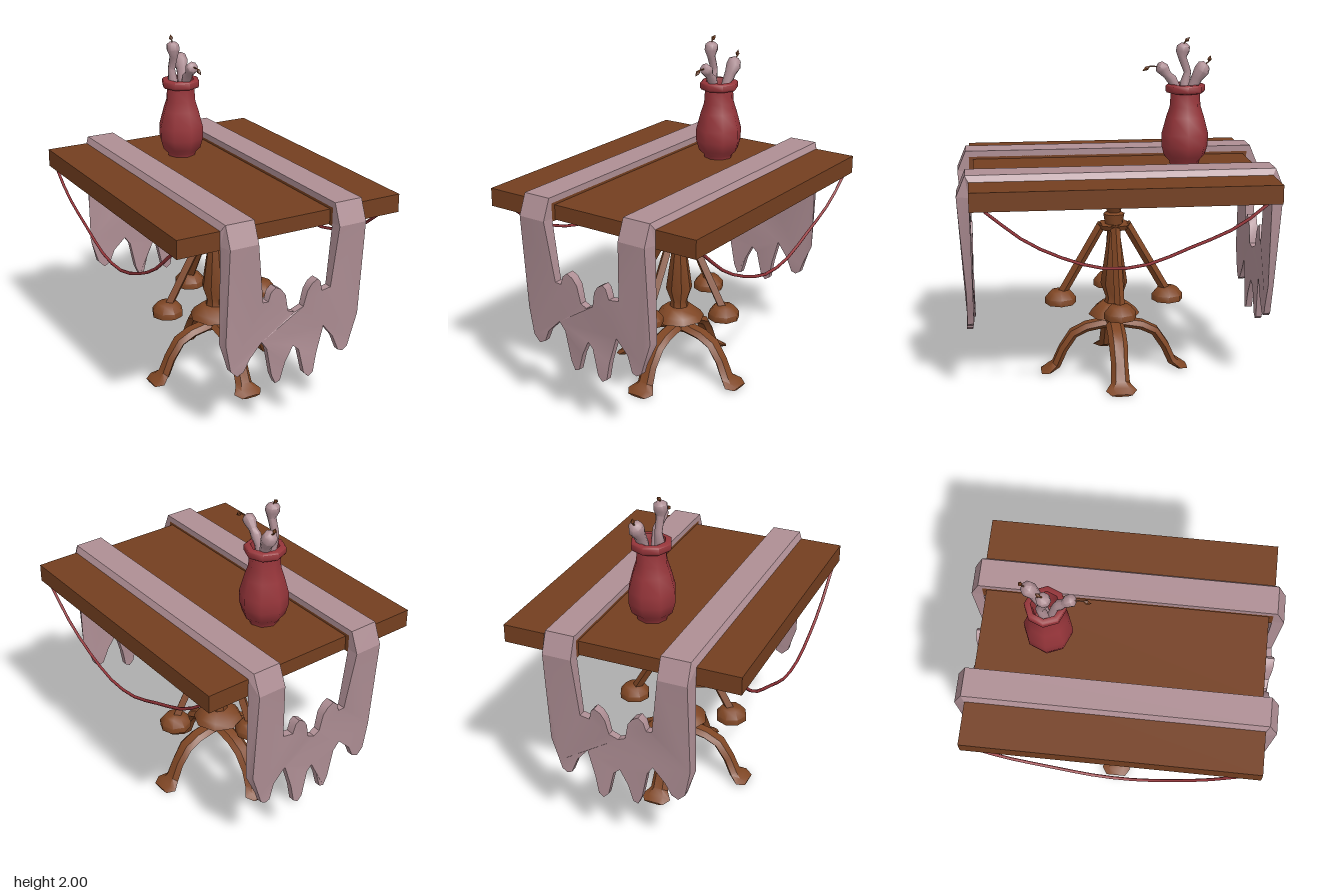
import * as THREE from 'three';
import { toCreasedNormals } from 'three/addons/utils/BufferGeometryUtils.js';

const mat = (name, color) => Object.assign(new THREE.MeshStandardMaterial({ color }), { name });

export function createModel() {
  const wood = mat('turned wood', 0x7f4624);
  const board = mat('table board wood', 0x743f20);
  const cloth = mat('dusty pink', 0xae8e94);
  const red = mat('deep red', 0x96353a);
  const model = new THREE.Group();
  model.name = 'altarTable';

  const add = (name, geo, material, parent = model, crease = 0.6) => {
    const mesh = new THREE.Mesh(toCreasedNormals(geo, crease), material);
    mesh.name = name;
    parent.add(mesh);
    return mesh;
  };
  const lathe = (pts, sides = 8) =>
    new THREE.LatheGeometry(pts.map(([r, y]) => new THREE.Vector2(r, y)), sides);
  const box = (w, h, d, x, y, z) => new THREE.BoxGeometry(w, h, d).translate(x, y, z);

  // Closed loft through stations [x, y, z, halfWidth, halfThickness]; side sets the width direction
  function loft(stations, sides, side) {
    const pos = [], index = [], n = stations.length;
    const at = (i) => new THREE.Vector3(...stations[Math.min(Math.max(i, 0), n - 1)].slice(0, 3));
    for (let i = 0; i < n; i++) {
      const t = at(i + 1).sub(at(i - 1)).normalize();
      const u = side.clone().addScaledVector(t, -side.dot(t)).normalize();
      const v = t.clone().cross(u);
      const [, , , ru, rv = ru] = stations[i];
      for (let j = 0; j < sides; j++) {
        const a = (j / sides) * Math.PI * 2;
        const p = at(i).addScaledVector(u, ru * Math.cos(a)).addScaledVector(v, rv * Math.sin(a));
        pos.push(p.x, p.y, p.z);
        const k = (j + 1) % sides, r = i * sides;
        if (i < n - 1) index.push(r + j, r + k, r + sides + j, r + k, r + sides + k, r + sides + j);
      }
    }
    const end = (n - 1) * sides;
    for (let j = 1; j < sides - 1; j++) index.push(0, j + 1, j, end, end + j, end + j + 1);
    const g = new THREE.BufferGeometry();
    g.setAttribute('position', new THREE.Float32BufferAttribute(pos, 3));
    g.setIndex(index);
    return g;
  }

  // Table top: two thick side boards and a slightly recessed middle board
  for (const s of [-1, 1]) add('sideBoard', box(0.44, 0.105, 1.68, s * 0.47, 1.2325, 0), board);
  add('middleBoard', box(0.5, 0.085, 1.63, 0, 1.2275, 0), board);

  // Pedestal
  add('cup', lathe([[0, 0.97], [0.04, 0.99], [0.045, 1.01], [0.08, 1.05], [0.095, 1.1], [0.1, 1.19], [0, 1.19]]), wood, model, 0.9);
  add('collar', lathe([[0, 0.91], [0.05, 0.91], [0.063, 0.98], [0.04, 0.99], [0, 0.99]]), wood, model, 0.9);
  add('strutPlate', lathe([[0, 0.89], [0.085, 0.89], [0.1, 0.92], [0, 0.92]]), wood, model, 0.9);
  add('shaft', lathe([[0, 0.42], [0.06, 0.42], [0.05, 0.47], [0.08, 0.555], [0.03, 0.9], [0, 0.9]]), wood);
  add('skirt', lathe([[0, 0.35], [0.08, 0.355], [0.153, 0.36], [0.13, 0.395], [0.08, 0.435], [0, 0.44]]), wood, model, 0.9);
  add('hub', lathe([[0, 0.29], [0.06, 0.3], [0.075, 0.36], [0, 0.36]]), wood, model, 0.9);

  // Four struts with hanging weights, and four curved legs
  const zAxis = new THREE.Vector3(0, 0, 1);
  for (let i = 0; i < 4; i++) {
    const arm = new THREE.Group();
    arm.name = 'supportArm';
    arm.rotation.y = (i * Math.PI) / 2;
    model.add(arm);
    add('strut', loft([[0.07, 0.92, 0, 0.028], [0.31, 0.5, 0, 0.028]], 4, zAxis), wood, arm);
    add('weight', lathe([[0, 0.44], [0.093, 0.44], [0.093, 0.475], [0.06, 0.515], [0, 0.52]])
      .translate(0.32, 0, 0), wood, arm, 0.9);
    add('leg', loft([
      [0, 0.3, 0, 0.055, 0.03], [0.06, 0.305, 0, 0.055, 0.03], [0.165, 0.285, 0, 0.055, 0.03],
      [0.245, 0.245, 0, 0.055, 0.03], [0.308, 0.15, 0, 0.05, 0.03], [0.35, 0.055, 0, 0.055, 0.03],
      [0.395, 0.025, 0, 0.09, 0.022], [0.44, 0.012, 0, 0.06, 0.008],
    ], 6, zAxis), wood, arm);
  }

  // Runner straps lying over the table, chamfered along the outer edge
  const strapSide = new THREE.Shape([[-0.86, 1.32], [-0.91, 1.2], [-0.84, 1.2], [-0.84, 1.284], [0.84, 1.284],
    [0.84, 1.2], [0.91, 1.2], [0.86, 1.32]].map((p) => new THREE.Vector2(...p)));
  const chamfer = (p, i, outer) => {
    const x = p.getX(i);
    if (outer && Math.abs(x) > 0.43) p.setX(i, Math.sign(x) * 0.42);
  };
  for (const s of [-1, 1]) {
    const g = new THREE.ExtrudeGeometry(strapSide, { depth: 0.19, bevelEnabled: false });
    g.rotateY(Math.PI / 2).translate(s > 0 ? 0.25 : -0.44, 0, 0);
    const p = g.attributes.position;
    for (let i = 0; i < p.count; i++) chamfer(p, i, p.getY(i) > 1.3 || Math.abs(p.getZ(i)) > 0.9);
    add('runnerStrap', g, cloth, model, 0.3);
  }

  // Ragged cloth hanging at both ends
  const ragged = [
    [-0.44, 1.2], [-0.44, 0.64], [-0.39, 0.48], [-0.35, 0.44], [-0.31, 0.46], [-0.275, 0.535], [-0.2, 0.61],
    [-0.165, 0.56], [-0.13, 0.39], [-0.105, 0.335], [-0.075, 0.345], [-0.045, 0.45], [0, 0.54], [0.035, 0.51],
    [0.07, 0.36], [0.1, 0.33], [0.13, 0.35], [0.15, 0.46], [0.195, 0.615], [0.265, 0.53], [0.3, 0.44], [0.33, 0.43],
    [0.36, 0.45], [0.375, 0.5], [0.44, 0.64], [0.44, 1.2], [0.25, 1.2], [0.225, 0.845], [0.165, 0.84], [0.15, 0.9],
    [0.13, 0.92], [0.095, 0.9], [0.07, 0.86], [0.05, 0.77], [0, 0.745], [-0.04, 0.76], [-0.06, 0.86], [-0.09, 0.9],
    [-0.125, 0.92], [-0.155, 0.895], [-0.17, 0.845], [-0.205, 0.85], [-0.25, 1.2]];
  for (const s of [-1, 1]) {
    const shape = new THREE.Shape(ragged.map(([x, y]) => new THREE.Vector2(x * s, y)));
    const g = new THREE.ExtrudeGeometry(shape, { depth: 1, bevelEnabled: false });
    const p = g.attributes.position;
    for (let i = 0; i < p.count; i++) {
      const x = p.getX(i), k = THREE.MathUtils.clamp((p.getY(i) - 0.65) / 0.55, 0, 1);
      const outer = p.getZ(i) > 0.5;
      const ripple = Math.abs(x) < 0.3 && k < 0.6 ? 0.008 * Math.sin(16 * x * s) : 0;
      p.setZ(i, (outer ? 0.868 + 0.042 * k : 0.832 + 0.008 * k) + ripple);
      chamfer(p, i, outer);
    }
    if (s < 0) g.rotateY(Math.PI);
    add('raggedCloth', g, cloth);
  }

  // Cords sagging along both sides
  const sag = [[0.76, 1.18], [0.53, 1.0], [0.26, 0.88], [0.1, 0.845], [-0.1, 0.86], [-0.33, 0.945], [-0.6, 1.06], [-0.76, 1.18]];
  for (const s of [-1, 1]) {
    const path = new THREE.CatmullRomCurve3(sag.map(([z, y]) => new THREE.Vector3(s * 0.673, y, z)));
    add('cord', new THREE.TubeGeometry(path, 14, 0.009, 6), red, model, 1.2);
  }

  // Vase with a hollow neck
  add('vase', lathe([[0, 1.27], [0.085, 1.27], [0.09, 1.29], [0.12, 1.32], [0.137, 1.38], [0.137, 1.45], [0.11, 1.55],
    [0.09, 1.61], [0.085, 1.685], [0.108, 1.69], [0.115, 1.7], [0.115, 1.73], [0.105, 1.738], [0.08, 1.738],
    [0.07, 1.7], [0.07, 1.56], [0, 1.55]]).translate(0, 0, -0.415), red, model, 0.9);

  // Bone candles: knobbly stems with a wick and a small flame bud
  const xAxis = new THREE.Vector3(1, 0, 0);
  const bones = [
    { stem: [[-0.03, 1.56, -0.41, 0.025], [-0.05, 1.74, -0.42, 0.028], [-0.05, 1.8, -0.435, 0.022], [-0.05, 1.88, -0.405, 0.024],
      [-0.052, 1.92, -0.405, 0.04], [-0.052, 1.95, -0.41, 0.038], [-0.05, 1.965, -0.41, 0.02]],
      tip: [[-0.05, 1.96, -0.41], [-0.055, 1.975, -0.42], [-0.05, 2.0, -0.445]] },
    { stem: [[0.02, 1.56, -0.42, 0.025], [0.03, 1.72, -0.45, 0.03], [0.04, 1.78, -0.475, 0.034], [0.045, 1.82, -0.5, 0.045],
      [0.045, 1.85, -0.515, 0.038], [0.045, 1.86, -0.525, 0.018]],
      tip: [[0.045, 1.855, -0.52], [0.045, 1.87, -0.54], [0.045, 1.905, -0.55]] },
    { stem: [[0, 1.56, -0.4, 0.022], [0, 1.72, -0.36, 0.024], [0, 1.765, -0.335, 0.03], [0, 1.79, -0.31, 0.024],
      [0, 1.825, -0.285, 0.036], [0, 1.84, -0.262, 0.034], [0, 1.845, -0.25, 0.018]],
      tip: [[0, 1.84, -0.255], [0, 1.842, -0.205], [0, 1.815, -0.165]] },
  ];
  for (const { stem, tip: [a, b, c] } of bones) {
    add('boneCandle', loft(stem, 8, xAxis), cloth, model, 0.9);
    add('wick', loft([[...a, 0.004], [...b, 0.004]], 5, xAxis), wood);
    const mid = b.map((v, i) => v * 0.6 + c[i] * 0.4);
    add('flameBud', loft([[...b, 0.004], [...mid, 0.013], [...c, 0.001]], 5, xAxis), wood);
  }
  return model;
}
